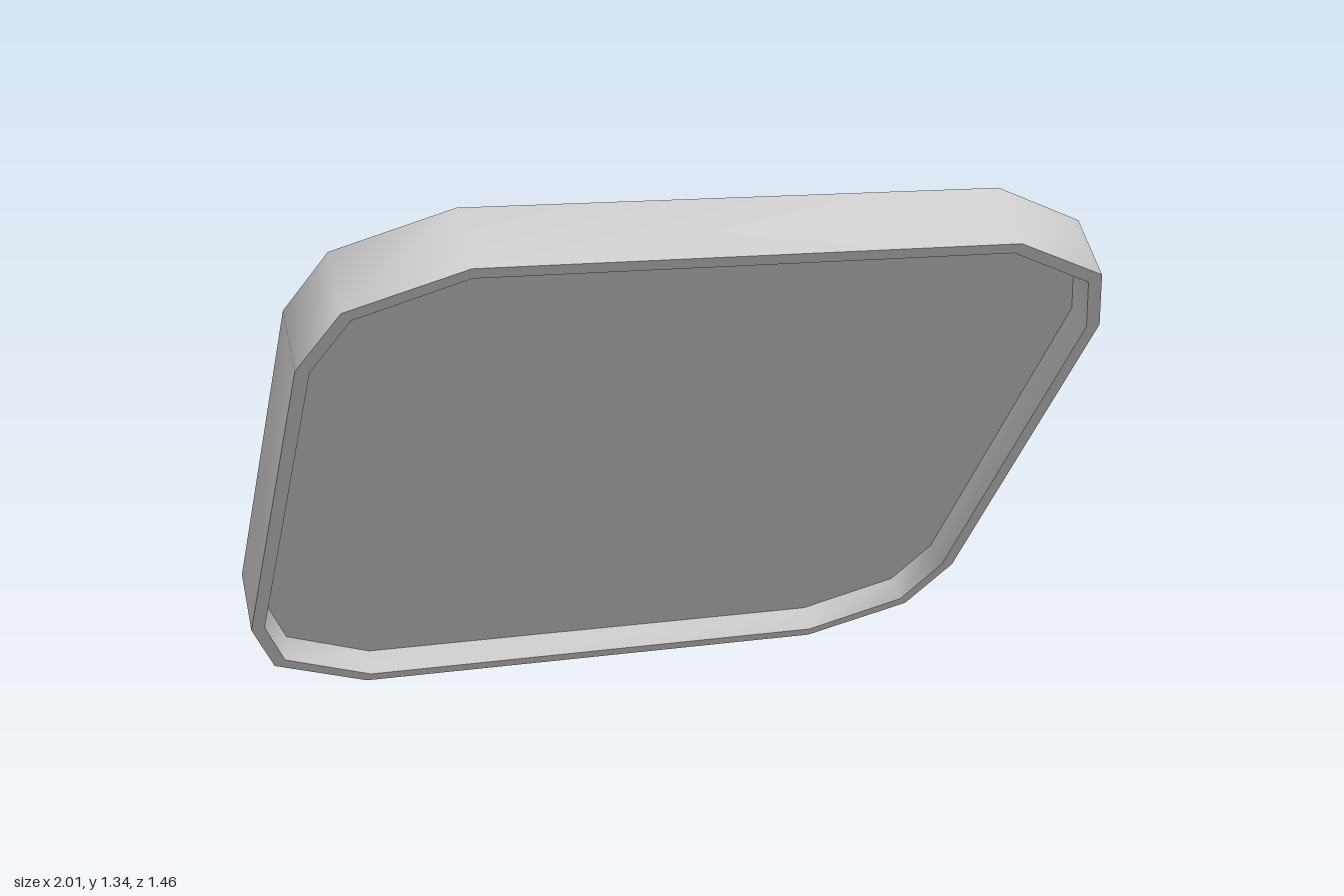
import * as THREE from 'three';
import { toCreasedNormals } from 'three/addons/utils/BufferGeometryUtils.js';

const HALF = 0.081; // half the frame thickness

// Counter-clockwise rounded-rectangle loop, inset by i
function outline(i) {
  const corner = [
    [0.95 - i, 0.53 - 0.2 * i],
    [0.875 - 0.75 * i, 0.72 - 0.8 * i],
    [0.622 - 0.2 * i, 0.846 - i],
  ];
  const points = [];
  for (const [sx, sy] of [[1, 1], [-1, 1], [-1, -1], [1, -1]]) {
    const c = sx * sy > 0 ? corner : [...corner].reverse();
    for (const [x, y] of c) points.push(new THREE.Vector2(sx * x, sy * y));
  }
  return points;
}

// Skin between consecutive [inset, z] rings
function loft(rings) {
  const positions = [];
  const index = [];
  const n = 12;
  for (const [inset, z] of rings) {
    for (const p of outline(inset)) positions.push(p.x, p.y, z);
  }
  for (let r = 0; r < rings.length - 1; r++) {
    for (let i = 0; i < n; i++) {
      const a = r * n + i;
      const b = r * n + (i + 1) % n;
      index.push(a, a + n, b, b, a + n, b + n);
    }
  }
  const geometry = new THREE.BufferGeometry();
  geometry.setAttribute('position', new THREE.Float32BufferAttribute(positions, 3));
  geometry.setIndex(index);
  return toCreasedNormals(geometry, 0.8);
}

export function createModel() {
  const material = new THREE.MeshStandardMaterial({ color: 0xcccccc });
  const tray = new THREE.Group();
  tray.name = 'tiltedTray';

  const add = (name, geometry) => {
    const mesh = new THREE.Mesh(geometry, material);
    mesh.name = name;
    tray.add(mesh);
    return mesh;
  };

  // Recess edges on each face: inset and depth
  const front = [0.047, HALF - 0.06];
  const back = [0.063, -HALF + 0.025];

  // Frame: front wall, front rim, outer side, back rim, back wall
  add('frame', loft([front, [0.032, HALF], [0, HALF], [0, -HALF], [0.043, -HALF], back]));

  // Recessed panels
  add('frontPanel', new THREE.ShapeGeometry(new THREE.Shape(outline(front[0])))).position.z = front[1];
  const backPanel = add('backPanel', new THREE.ShapeGeometry(new THREE.Shape(outline(back[0]))));
  backPanel.rotation.y = Math.PI;
  backPanel.position.z = back[1];

  // Lean forward, then turn slightly
  tray.rotation.set(0.759, -0.1536, 0, 'YXZ');
  tray.position.y = 0.67;

  const model = new THREE.Group();
  model.name = 'model';
  model.add(tray);
  return model;
}
